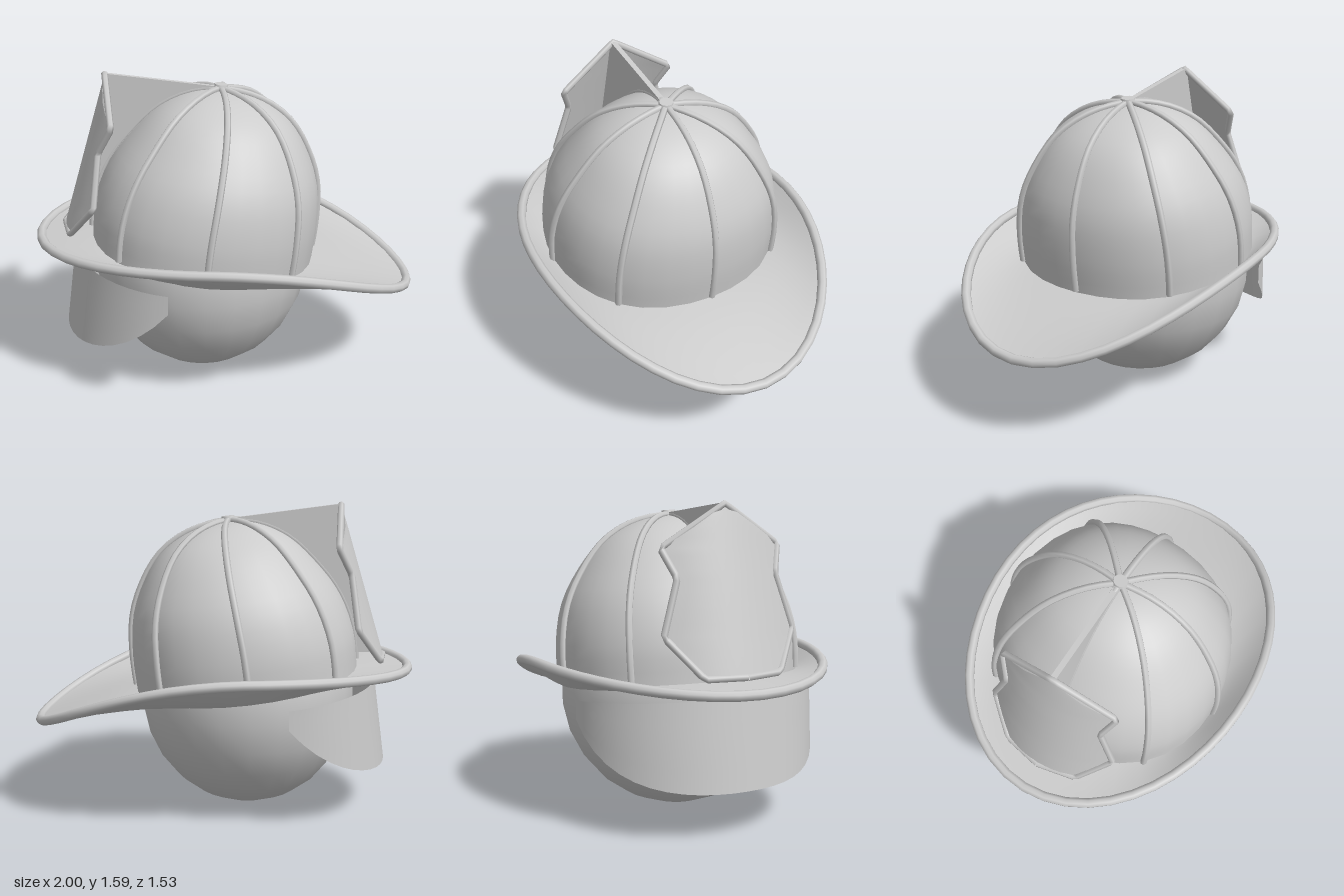
import * as THREE from 'three';

const grey = new THREE.MeshStandardMaterial({ color: 0xcccccc });
const sheet = new THREE.MeshStandardMaterial({ color: 0xcccccc, side: THREE.DoubleSide });
const V = (x, y, z) => new THREE.Vector3(x, y, z);

// Surface over a grid: point(u, v) with u, v in 0..1; rows run along v
function loft(point, nu, nv, closed = false) {
  const pos = [], index = [], cols = closed ? nu : nu + 1;
  for (let j = 0; j <= nv; j++)
    for (let i = 0; i < cols; i++) pos.push(...point(i / nu, j / nv).toArray());
  for (let j = 0; j < nv; j++)
    for (let i = 0; i < nu; i++) {
      const k = (i + 1) % cols;
      const a = j * cols + i, b = j * cols + k, c = a + cols, d = b + cols;
      index.push(a, b, d, a, d, c);
    }
  const g = new THREE.BufferGeometry();
  g.setAttribute('position', new THREE.Float32BufferAttribute(pos, 3));
  g.setIndex(index);
  g.computeVertexNormals();
  return g;
}

function add(parent, name, geometry, material = grey) {
  const m = new THREE.Mesh(geometry, material);
  m.name = name;
  parent.add(m);
  return m;
}

// Straight-sided path through points
function polyline(points) {
  const path = new THREE.CurvePath();
  points.forEach((p, i) => i && path.add(new THREE.LineCurve3(points[i - 1], p)));
  return path;
}

export function createModel() {
  const model = new THREE.Group();
  model.name = 'helmetOnHead';

  // Head: a plain ball
  const head = add(model, 'head', new THREE.SphereGeometry(1, 24, 13));
  head.scale.set(0.567, 0.62, 0.61);
  head.position.set(-0.13, 0.62, 0);

  // Crown, leaning toward the long end of the brim
  const crown = new THREE.Group();
  crown.name = 'crown';
  crown.position.set(-0.125, 0.68, 0);
  crown.rotation.z = -0.12;
  crown.scale.z = 1.055;
  model.add(crown);

  // Crown profile as radius, height and shift along x
  const profile = new THREE.CatmullRomCurve3([V(0.6, 0, 0), V(0.6, 0.19, 0), V(0.556, 0.4, 0.014),
    V(0.458, 0.58, 0.027), V(0.36, 0.7, 0.03), V(0.25, 0.775, 0.027), V(0.14, 0.815, 0.018), V(0.01, 0.832, 0)]);
  const crownPoint = (a, s, inset) => {
    const p = profile.getPoint(s);
    const r = Math.max(p.x - inset, 0.002) * (1 + 0.03 * Math.sin(2 * a) ** 2);
    return V(r * Math.cos(a) + p.z, p.y * (1 - inset), r * Math.sin(a));
  };
  add(crown, 'dome', loft((u, v) => crownPoint(-u * Math.PI * 2, v, 0.016), 32, 21, true));

  // Eight ribs meeting at the top button
  for (let i = 0; i < 8; i++) {
    const path = new THREE.CatmullRomCurve3(
      Array.from({ length: 13 }, (_, k) => crownPoint(i * Math.PI / 4, 0.01 + k * 0.08, 0.01)));
    add(crown, 'rib', new THREE.TubeGeometry(path, 18, 0.017, 6));
  }
  add(crown, 'topButton', new THREE.CylinderGeometry(0.034, 0.042, 0.03, 10)).position.y = 0.828;

  // Brim: sides turned up, long end dropping, with a top skin and an underside
  const edge = (a) => {
    const x = 0.975 * Math.cos(a), d = x + 0.1;
    return V(x, 0.782 - (d > 0 ? 0.285 : 0.06) * d * d, 0.742 * Math.sin(a));
  };
  const brim = (drop) => (u, v) => {
    const a = -u * Math.PI * 2;
    const x = -0.125 + 0.575 * Math.cos(a);
    const inner = V(x, 0.68 - 0.12 * (x + 0.125), 0.605 * Math.sin(a));
    const outer = edge(a), p = inner.clone().lerp(outer, v);
    p.y = inner.y + (outer.y - inner.y) * Math.pow(v, 1.2) - drop;
    return p;
  };
  add(model, 'brimTop', loft(brim(0), 32, 6, true), sheet);
  add(model, 'brimUnderside', loft(brim(0.023), 32, 6, true), sheet);
  const rimPath = new THREE.CatmullRomCurve3(
    Array.from({ length: 24 }, (_, i) => edge(i * Math.PI / 12)), true);
  add(model, 'brimEdge', new THREE.TubeGeometry(rimPath, 48, 0.025, 8, true));

  // Badge plate: bowed shield leaning back, half-width by height
  const outline = [[0.2, 0.79], [0.345, 0.975], [0.262, 1.24], [0.315, 1.375], [0, 1.575]];
  const onBadge = (z, y) => V(-0.61 - 0.3 * (1.58 - y) + z * z, y, z);
  const badge = new THREE.Group();
  badge.name = 'badge';
  model.add(badge);
  const plate = (u, v) => {
    const s = v * (outline.length - 1), i = Math.min(Math.floor(s), outline.length - 2), f = s - i;
    const [w0, y0] = outline[i], [w1, y1] = outline[i + 1];
    return onBadge((u * 2 - 1) * (w0 + (w1 - w0) * f), y0 + (y1 - y0) * f);
  };
  add(badge, 'badgePlate', loft(plate, 10, 16), sheet);
  const mirrored = outline.slice(0, -1).reverse().map(([w, y]) => [-w, y]);
  const border = [[0, 0.79], ...outline, ...mirrored, [0, 0.79]].map(([z, y]) => onBadge(z, y));
  add(badge, 'badgeBorder', new THREE.TubeGeometry(polyline(border), 80, 0.017, 6));

  // Fin holding the badge to the crown
  const fin = new THREE.Shape([[-0.03, 1.505], [-0.61, 1.58], [-0.84, 0.8], [-0.66, 0.8],
    [-0.55, 1.1], [-0.3, 1.35]].map(([x, y]) => new THREE.Vector2(x, y)));
  const finGeometry = new THREE.ExtrudeGeometry(fin, { depth: 0.028, bevelEnabled: false });
  add(model, 'badgeFin', finGeometry.translate(0, 0, -0.014));

  // Curved face shield below the brim, tapering toward its ends
  const shield = (u, v) => {
    const s = u * 2 - 1, a = s * 1.46;
    const x = -0.25 - 0.55 * Math.cos(a);
    const top = 0.685 - 0.1 * (x + 0.8);
    const bottom = 0.245 + 0.295 * Math.pow(Math.abs(s), 3.2);
    const y = bottom + (top - bottom) * v;
    return V(x - 0.136 * (top - y) * Math.cos(a), y, 0.645 * Math.sin(a));
  };
  add(model, 'faceShield', loft(shield, 24, 4), sheet);

  return model;
}
